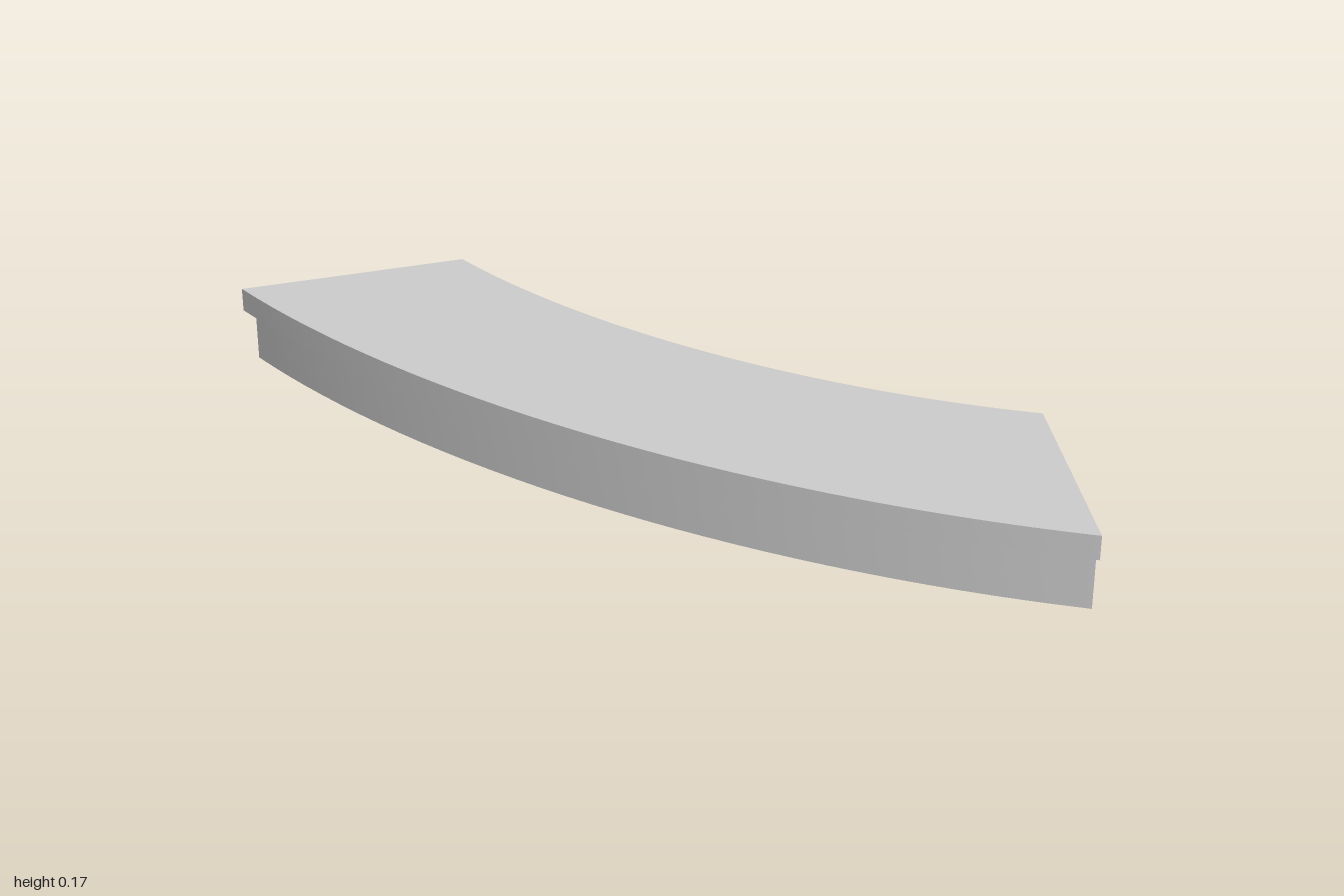
import * as THREE from 'three';

// Plan: elliptical arcs that share a centre; the ends lie on lines through it.
const CENTRE_Z = -1.176, RADIUS_Z = 1.452, HALF_ANGLE = 0.482, SEGMENTS = 32;
const RADIUS_X = 1 / Math.sin(HALF_ANGLE);

// Cross-section as (fraction of outer radius, height): body with a lip in front
const SECTION = [
  [0.7, 0], [0.984, 0], [0.984, 0.116], [1, 0.116], [1, 0.166], [0.7, 0.166],
].map(([s, y]) => new THREE.Vector2(s, y));

const place = (p, t) => [
  p.x * RADIUS_X * Math.sin(t), p.y, CENTRE_Z + p.x * RADIUS_Z * Math.cos(t),
];

function makeGeometry(positions, index) {
  const geometry = new THREE.BufferGeometry();
  geometry.setAttribute('position', new THREE.Float32BufferAttribute(positions, 3));
  geometry.setIndex(index);
  geometry.computeVertexNormals();
  return geometry;
}

// One smooth strip per section edge, so the long edges stay sharp
function sideStrip(p, q) {
  const positions = [], index = [];
  for (let i = 0; i <= SEGMENTS; i++) {
    const t = HALF_ANGLE * (2 * i / SEGMENTS - 1);
    positions.push(...place(p, t), ...place(q, t));
    if (i < SEGMENTS) {
      const a = 2 * i;
      index.push(a, a + 2, a + 1, a + 1, a + 2, a + 3);
    }
  }
  return makeGeometry(positions, index);
}

// Flat end face, facing outwards on either side
function endCap(side) {
  const positions = SECTION.flatMap((p) => place(p, side * HALF_ANGLE));
  const index = THREE.ShapeUtils.triangulateShape(SECTION, [])
    .flatMap(([a, b, c]) => (side < 0 ? [a, b, c] : [a, c, b]));
  return makeGeometry(positions, index);
}

export function createModel() {
  const group = new THREE.Group();
  group.name = 'curvedStep';
  const material = new THREE.MeshStandardMaterial({ color: 0xcccccc });
  const add = (name, geometry) => {
    const mesh = new THREE.Mesh(geometry, material);
    mesh.name = name;
    group.add(mesh);
  };

  // Faces around the section
  const names = ['underside', 'frontRiser', 'lipUnderside', 'lipFront', 'tread', 'backWall'];
  names.forEach((name, i) => add(name, sideStrip(SECTION[i], SECTION[(i + 1) % SECTION.length])));

  // Ends
  add('leftEnd', endCap(1));
  add('rightEnd', endCap(-1));
  return group;
}
